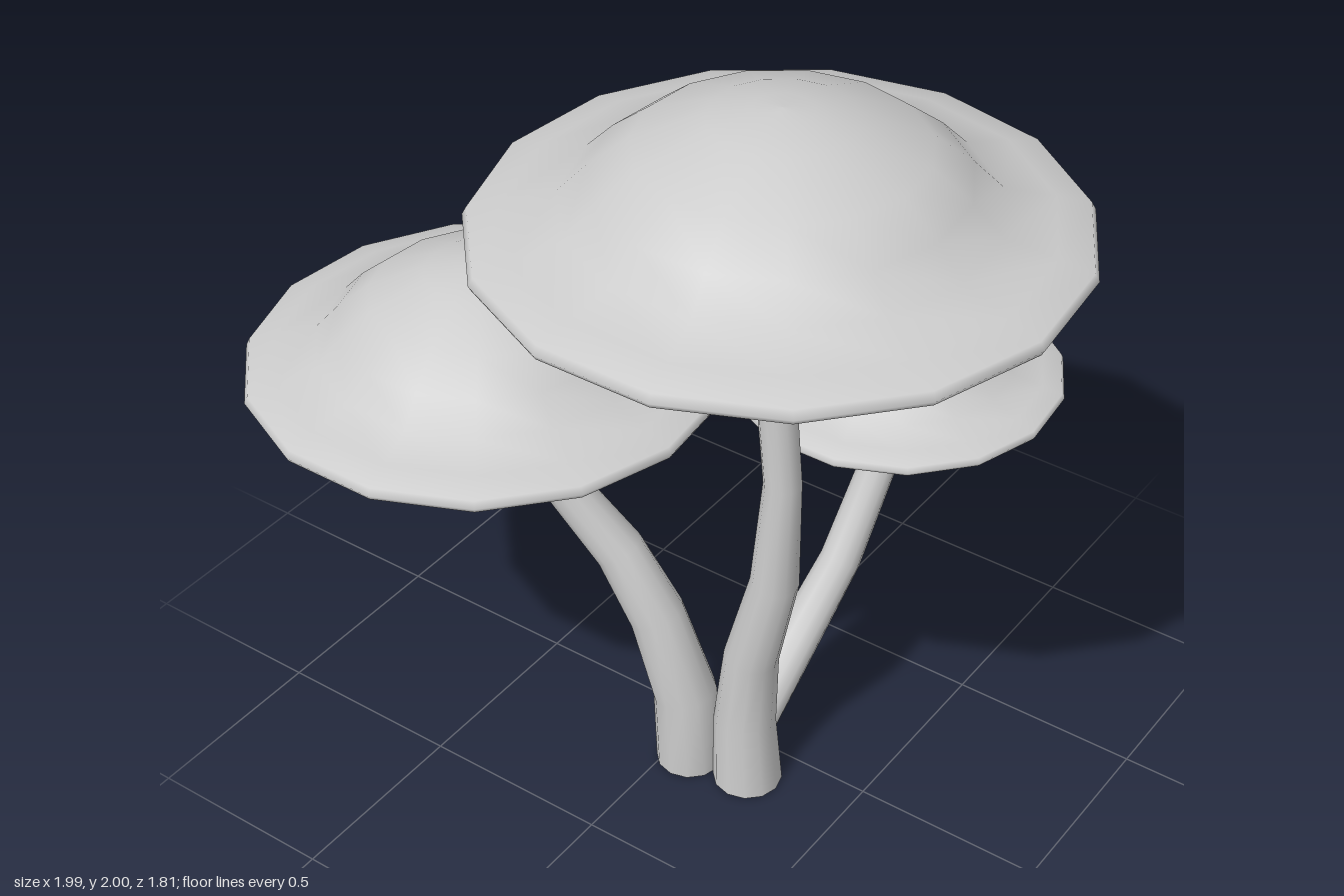
import * as THREE from 'three';

const material = new THREE.MeshStandardMaterial({ color: 0xcccccc });

// Cap profile from the underside centre, round the rim, up to the crown:
// [radius as a share of the cap radius, height as a share of the cap height]
const CAP_PROFILE = [
  [0, 0.08], [0.5, 0.06], [0.9, 0.02], [0.97, 0], [0.99, 0.02], [1, 0.06], [0.985, 0.12],
  [0.87, 0.185], [0.7, 0.28], [0.6, 0.5], [0.47, 0.72], [0.24, 0.925], [0.1, 0.985], [0, 1],
];

function makeCap(radius, height) {
  const points = CAP_PROFILE.map(([r, h]) => new THREE.Vector2(r * radius, h * height));
  const cap = new THREE.Mesh(new THREE.LatheGeometry(points, 15, Math.PI), material);
  cap.name = 'cap';
  return cap;
}

// Bent, tapering tube through rows of [x, y, z, radius]
function makeStem(rows, sides = 12) {
  const up = new THREE.Vector3(0, 1, 0);
  const centres = rows.map(([x, y, z]) => new THREE.Vector3(x, y, z));
  const positions = [];
  const index = [];
  rows.forEach((row, i) => {
    // rings lie square to the path; the foot stays level on the ground
    const before = centres[Math.max(i - 1, 0)];
    const after = centres[Math.min(i + 1, rows.length - 1)];
    const tangent = i === 0 ? up : after.clone().sub(before).normalize();
    const turn = new THREE.Quaternion().setFromUnitVectors(up, tangent);
    for (let s = 0; s < sides; s++) {
      const a = (s / sides) * Math.PI * 2;
      const p = new THREE.Vector3(Math.sin(a), 0, Math.cos(a)).multiplyScalar(row[3]);
      positions.push(...p.applyQuaternion(turn).add(centres[i]).toArray());
      if (i === 0) continue;
      const n = (s + 1) % sides;
      const lo = (i - 1) * sides;
      const hi = i * sides;
      index.push(lo + s, lo + n, hi + n, lo + s, hi + n, hi + s);
    }
  });
  const geometry = new THREE.BufferGeometry();
  geometry.setAttribute('position', new THREE.Float32BufferAttribute(positions, 3));
  geometry.setIndex(index);
  geometry.computeVertexNormals();
  const stem = new THREE.Mesh(geometry, material);
  stem.name = 'stem';

  // flat underside of the foot
  const foot = new THREE.Mesh(new THREE.CircleGeometry(rows[0][3], sides), material);
  foot.name = 'stemFoot';
  foot.rotation.x = Math.PI / 2;
  foot.position.copy(centres[0]);
  return [stem, foot];
}

const MUSHROOMS = [
  {
    name: 'tallMushroom',
    cap: { at: [0.28, 1.67, 0.105], radius: 0.715, height: 0.33 },
    stem: [
      [0.22, 0, 0.12, 0.09], [0.21, 0.2, 0.12, 0.08], [0.228, 0.42, 0.12, 0.07],
      [0.293, 0.69, 0.12, 0.061], [0.31, 1.0, 0.12, 0.047], [0.285, 1.28, 0.12, 0.048],
      [0.255, 1.55, 0.12, 0.05], [0.268, 1.71, 0.12, 0.054],
    ],
  },
  {
    name: 'middleMushroom',
    cap: { at: [-0.41, 1.17, 0.32], radius: 0.59, height: 0.29 },
    stem: [
      [0.055, 0, 0.145, 0.088], [0.045, 0.23, 0.152, 0.083], [-0.025, 0.47, 0.175, 0.073],
      [-0.12, 0.65, 0.2, 0.064], [-0.235, 0.81, 0.245, 0.055], [-0.345, 1.01, 0.297, 0.05],
      [-0.388, 1.2, 0.33, 0.052],
    ],
  },
  {
    name: 'smallMushroom',
    cap: { at: [0.25, 0.945, -0.48], radius: 0.435, height: 0.215 },
    stem: [
      [0.13, 0, 0.03, 0.075], [0.168, 0.23, -0.185, 0.06], [0.205, 0.42, -0.325, 0.054],
      [0.238, 0.7, -0.46, 0.049], [0.247, 0.85, -0.483, 0.051], [0.247, 0.97, -0.49, 0.054],
    ],
  },
];

export function createModel() {
  const model = new THREE.Group();
  model.name = 'mushroomCluster';
  for (const { name, cap, stem } of MUSHROOMS) {
    const mushroom = new THREE.Group();
    mushroom.name = name;
    const top = makeCap(cap.radius, cap.height);
    top.position.set(...cap.at);
    mushroom.add(top, ...makeStem(stem));
    model.add(mushroom);
  }
  return model;
}
